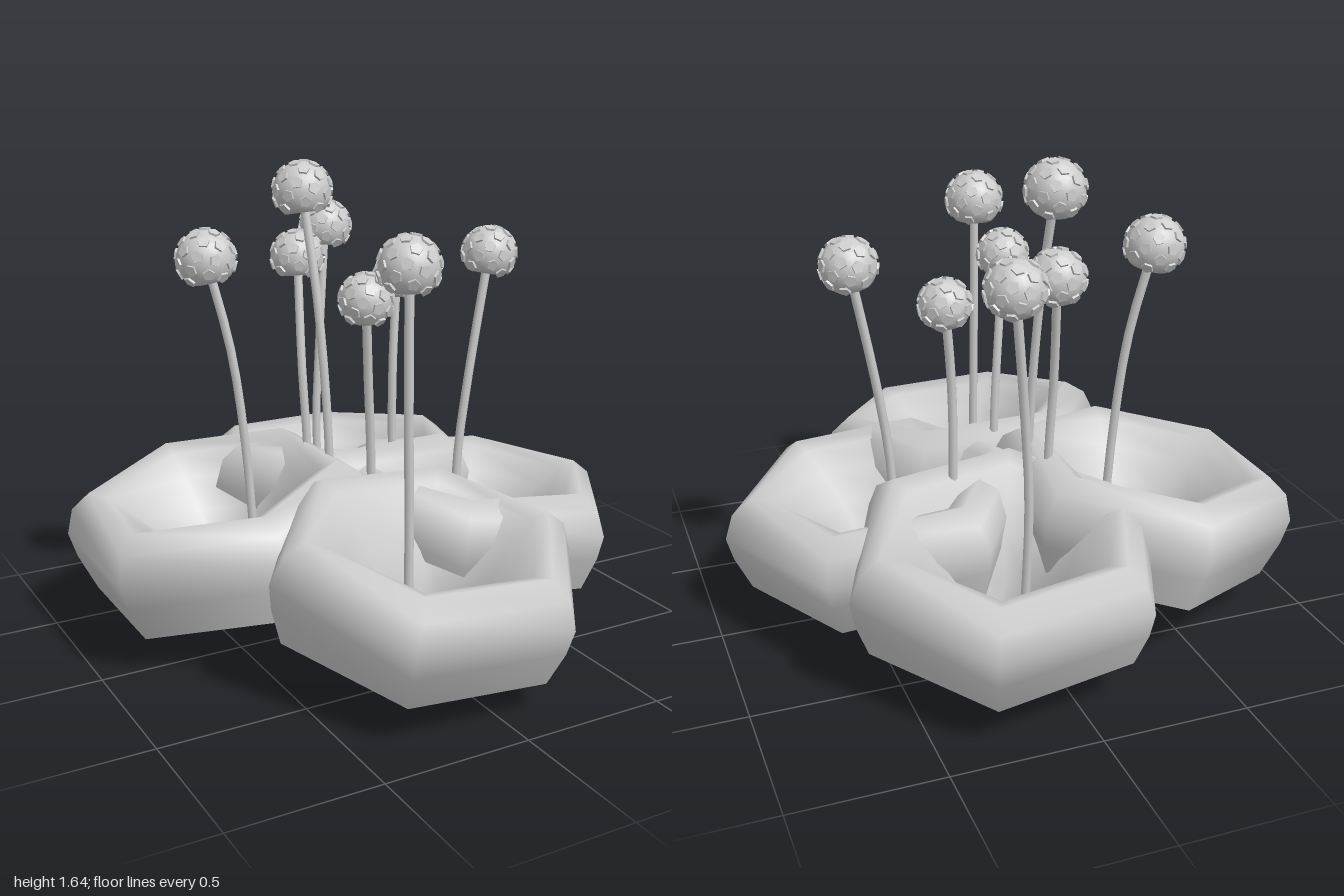
import * as THREE from 'three';

const UP = new THREE.Vector3(0, 1, 0);
const grey = new THREE.MeshStandardMaterial({ color: 0xcccccc, side: THREE.DoubleSide });

// Cup section: open skirt, rounded lip, then a funnel down to a blunt tip
const CUP_PROFILE = [
  [0.485, 0.18], [0.53, 0.31], [0.545, 0.40], [0.51, 0.49], [0.44, 0.54],
  [0.375, 0.515], [0.30, 0.44], [0.21, 0.34], [0.12, 0.19], [0.05, 0.015], [0.035, 0], [0, 0],
].map(([r, y]) => new THREE.Vector2(r, y));

// Funnel tip position, lean of the axis, angle of one corner, height factor
const CUPS = [
  { name: 'rightCup', tip: [-0.41, 0.02, -0.21], lean: [-0.17, 0], corner: 30, height: 1.02 },
  { name: 'frontCup', tip: [-0.075, 0.01, 0.43], lean: [0.04, 0.17], corner: 4, height: 1 },
  { name: 'leftCup', tip: [0.373, 0.02, 0.03], lean: [0.1, 0], corner: 4, height: 0.94 },
  { name: 'backCup', tip: [0.13, 0.02, -0.452], lean: [0.03, -0.13], corner: -8, height: 1 },
];

// Stalk points from base to head centre, and head radius
const STALKS = [
  { radius: 0.1, path: [[-0.345, 0.05, -0.19], [-0.375, 0.6, -0.19], [-0.42, 1, -0.2], [-0.49, 1.325, -0.23]] },
  { radius: 0.1, path: [[-0.1, 0.09, -0.09], [-0.105, 0.65, -0.09], [-0.125, 1.15, -0.125], [-0.145, 1.535, -0.195]] },
  { radius: 0.093, path: [[-0.11, 0.09, -0.24], [-0.115, 0.6, -0.24], [-0.125, 0.9, -0.255], [-0.1, 1.285, -0.33]] },
  { radius: 0.095, path: [[0.075, 0.05, -0.5], [0.065, 0.6, -0.52], [0.085, 0.9, -0.53], [0.135, 1.345, -0.57]] },
  { radius: 0.085, path: [[0.225, 0.08, -0.19], [0.21, 0.6, -0.19], [0.212, 0.9, -0.19], [0.238, 1.195, -0.21]] },
  { radius: 0.095, path: [[0.365, 0.05, 0], [0.375, 0.55, 0], [0.415, 0.85, 0], [0.5, 1.295, -0.01]] },
  { radius: 0.088, path: [[-0.04, 0.09, 0.11], [-0.05, 0.65, 0.115], [-0.075, 0.95, 0.14], [-0.105, 1.22, 0.18]] },
  { radius: 0.1, path: [[-0.07, 0.04, 0.405], [-0.07, 0.5, 0.405], [-0.075, 0.9, 0.405], [-0.08, 1.365, 0.41]] },
];

function makeCup({ name, tip, lean, corner, height }) {
  const geometry = new THREE.LatheGeometry(CUP_PROFILE, 6, THREE.MathUtils.degToRad(90 - corner));
  const cup = new THREE.Mesh(geometry, grey);
  cup.name = name;
  cup.position.set(...tip);
  cup.scale.y = height;
  cup.quaternion.setFromUnitVectors(UP, new THREE.Vector3(lean[0], 1, lean[1]).normalize());
  return cup;
}

// Round head with a cut-off base and pentagonal plates spread over it
function makeHead(radius) {
  const head = new THREE.Group();
  head.name = 'head';
  const cut = Math.PI * 0.76;
  const profile = [new THREE.Vector2(0, radius * Math.cos(cut) + 0.012)];
  for (let i = 0; i <= 12; i++) {
    const a = cut * (1 - i / 12);
    profile.push(new THREE.Vector2(Math.sin(a) * radius, Math.cos(a) * radius));
  }
  const ball = new THREE.Mesh(new THREE.LatheGeometry(profile, 20), grey);
  ball.name = 'headBall';
  head.add(ball);

  const count = 40;
  const plateGeometry = new THREE.CylinderGeometry(0.021, 0.021, 0.008, 5).toNonIndexed();
  plateGeometry.computeVertexNormals();
  for (let i = 0; i < count; i++) {
    const y = 1 - (2 * i + 1) / count;
    if (y < -0.66) break;
    const r = Math.sqrt(1 - y * y), turn = i * 2.39996;
    const out = new THREE.Vector3(r * Math.cos(turn), y, r * Math.sin(turn));
    const plate = new THREE.Mesh(plateGeometry, grey);
    plate.name = 'plate';
    plate.position.copy(out).multiplyScalar(radius + 0.001);
    plate.quaternion.setFromUnitVectors(UP, out);
    head.add(plate);
  }
  return head;
}

function makeStalk({ radius, path }, index) {
  const group = new THREE.Group();
  group.name = 'stalkWithHead' + (index + 1);
  const curve = new THREE.CatmullRomCurve3(path.map((p) => new THREE.Vector3(...p)));
  const stalk = new THREE.Mesh(new THREE.TubeGeometry(curve, 12, 0.016, 8), grey);
  stalk.name = 'stalk';
  const head = makeHead(radius);
  head.position.copy(curve.getPoint(1));
  head.quaternion.setFromUnitVectors(UP, curve.getTangent(1));
  group.add(stalk, head);
  return group;
}

export function createModel() {
  const model = new THREE.Group();
  model.name = 'cupCluster';
  CUPS.forEach((cup) => model.add(makeCup(cup)));
  STALKS.forEach((stalk, i) => model.add(makeStalk(stalk, i)));
  return model;
}
